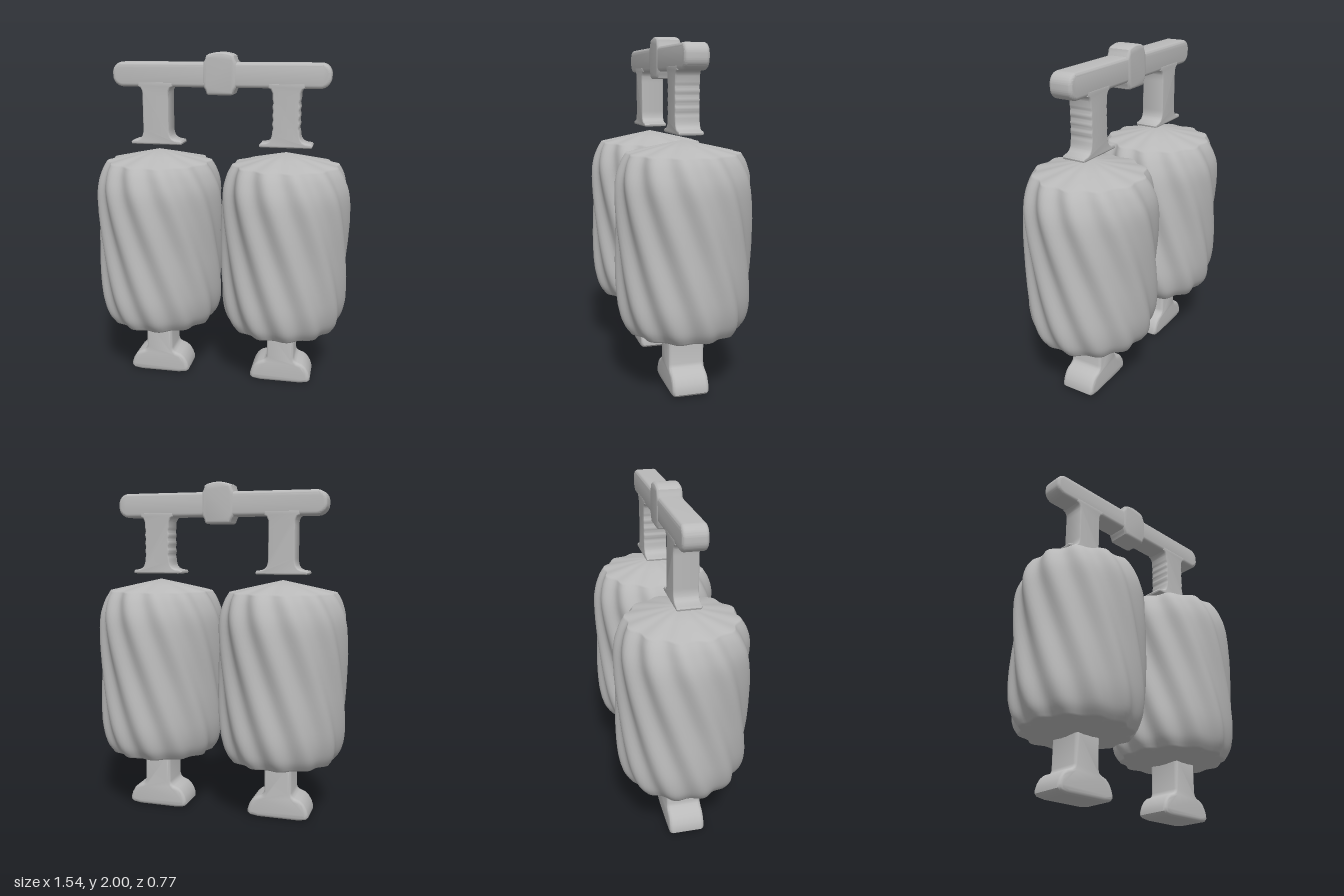
import * as THREE from 'three';
import { mergeVertices, toCreasedNormals } from 'three/addons/utils/BufferGeometryUtils.js';

const CENTRE = 0.385;

// Extrude an outline to a total depth, with rounded front and back edges
function slab(shape, depth, bevel) {
  const g = new THREE.ExtrudeGeometry(shape, {
    depth: depth - 2 * bevel, bevelEnabled: true, bevelThickness: bevel,
    bevelSize: bevel, bevelOffset: -bevel, bevelSegments: 4, curveSegments: 10,
  });
  g.translate(0, 0, -depth / 2 + bevel);
  return toCreasedNormals(g, 0.7);
}

// Mirror the right half of an outline (bottom to top) into a closed shape
function symmetricShape(half) {
  const pts = half.map(([x, y]) => new THREE.Vector2(x, y));
  const left = half.slice().reverse().map(([x, y]) => new THREE.Vector2(-x, y));
  return new THREE.Shape([...pts, ...left]);
}

// Padded drum with twelve shallow flutes twisting around it
function drumGeometry() {
  const curve = new THREE.SplineCurve([
    [0.305, 0.36], [0.342, 0.42], [0.364, 0.52], [0.370, 0.66], [0.370, 0.85],
    [0.372, 1.05], [0.366, 1.2], [0.338, 1.3], [0.305, 1.36],
  ].map(([x, y]) => new THREE.Vector2(x, y)));
  const profile = [
    new THREE.Vector2(0, 0.31), new THREE.Vector2(0.15, 0.334),
    ...curve.getPoints(32),
    new THREE.Vector2(0.15, 1.396), new THREE.Vector2(0, 1.43),
  ];
  let g = new THREE.LatheGeometry(profile, 96);
  const p = g.attributes.position;
  for (let i = 0; i < p.count; i++) {
    const x = p.getX(i), y = p.getY(i), z = p.getZ(i);
    const r = Math.hypot(x, z);
    if (r < 1e-4) continue;
    const wave = Math.cos(12 * (Math.atan2(x, z) + (y - 1.07)));
    const s = 1 + (0.014 * wave * Math.min(1, r / 0.35)) / r;
    p.setXYZ(i, x * s, y, z * s);
  }
  g.deleteAttribute('uv');
  g.deleteAttribute('normal');
  g = mergeVertices(g, 1e-5);
  g.computeVertexNormals();
  return g;
}

// Upright with a thin flared base; grips add shallow ripples on both sides
function uprightShape(grips) {
  const half = [
    [0.135, 1.462], [0.152, 1.464], [0.155, 1.474], [0.148, 1.484],
    [0.115, 1.489], [0.098, 1.497], [0.086, 1.512], [0.08, 1.535],
  ];
  for (let i = 0; i <= 24; i++) {
    const y = 1.55 + i * 0.008;
    half.push([0.079 - (grips ? 0.005 * (1 - Math.cos(i * Math.PI / 3)) / 2 : 0), y]);
  }
  half.push([0.08, 1.775], [0.09, 1.795], [0.105, 1.803], [0.105, 1.83]);
  return symmetricShape(half);
}

export function createModel() {
  const model = new THREE.Group();
  const grey = new THREE.MeshStandardMaterial({ color: 0xbababa });
  grey.name = 'plain grey';

  const add = (name, geometry, x = 0) => {
    const mesh = new THREE.Mesh(geometry, grey);
    mesh.name = name;
    mesh.position.x = x;
    model.add(mesh);
  };

  // Stem and flared foot below each drum
  const footShape = symmetricShape([
    [0.12, 0], [0.172, 0.008], [0.186, 0.022], [0.186, 0.045], [0.176, 0.075],
    [0.158, 0.105], [0.135, 0.125], [0.105, 0.136], [0.09, 0.146],
    [0.083, 0.165], [0.083, 0.345],
  ]);
  const foot = slab(footShape, 0.212, 0.022);
  const drum = drumGeometry();

  for (const side of [-1, 1]) {
    const label = side > 0 ? 'left' : 'right';
    add(label + 'Drum', drum, side * CENTRE);
    add(label + 'Foot', foot, side * CENTRE);
    add(label + 'Upright', slab(uprightShape(side > 0), 0.14, 0.009), side * CENTRE);
  }

  // Crossbar with rounded ends
  const bar = new THREE.Shape();
  const r = 0.062, x0 = -0.643, x1 = 0.635, y0 = 1.8, y1 = 1.943;
  bar.moveTo(x0 + r, y0);
  bar.lineTo(x1 - r, y0);
  bar.absarc(x1 - r, y0 + r, r, -Math.PI / 2, 0);
  bar.absarc(x1 - r, y1 - r, r, 0, Math.PI / 2);
  bar.absarc(x0 + r, y1 - r, r, Math.PI / 2, Math.PI);
  bar.absarc(x0 + r, y0 + r, r, Math.PI, Math.PI * 1.5);
  add('crossbar', slab(bar, 0.138, 0.02));

  // Central boss on the crossbar
  add('centreBoss', slab(symmetricShape([
    [0.066, 1.757], [0.078, 1.763], [0.085, 1.785], [0.097, 1.805],
    [0.1, 1.83], [0.1, 1.925], [0.095, 1.945], [0.086, 1.96],
    [0.081, 1.98], [0.064, 1.99], [0.03, 1.998], [0.01, 2],
  ]), 0.146, 0.018));

  return model;
}
